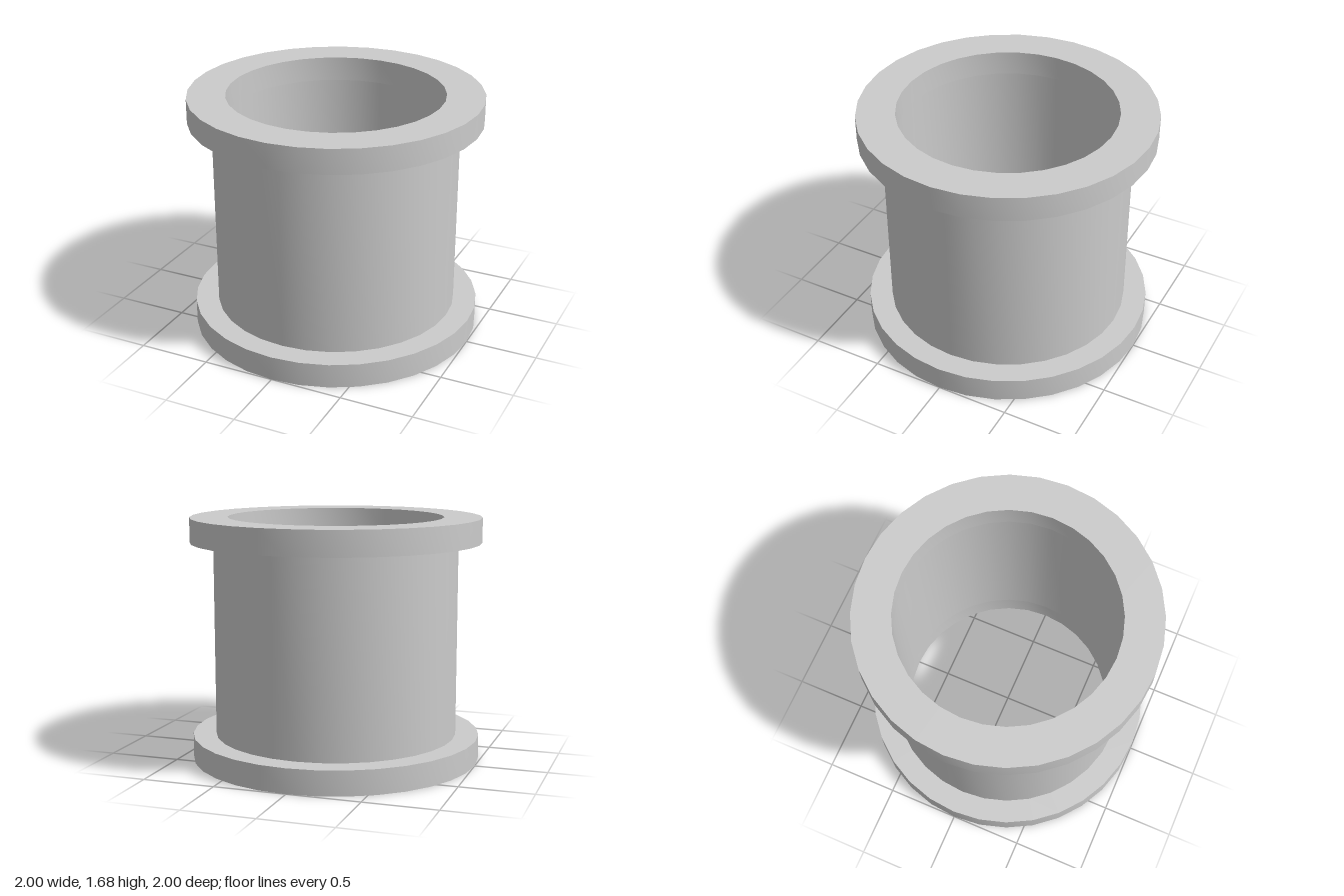
import * as THREE from 'three';
import { toCreasedNormals } from 'three/addons/utils/BufferGeometryUtils.js';

const SIDES = 32;
const BORE = 0.74, WALL = 0.84, RIM = 1;
const HEIGHT = 1.68, FLANGE = 0.17;

export function createModel() {
  const group = new THREE.Group();
  group.name = 'flangedSleeve';
  const material = new THREE.MeshStandardMaterial({ color: 0xcccccc });

  // Revolves a [radius, height] profile, keeping its corners sharp
  const revolve = (name, profile, parent = group) => {
    const points = profile.map(([r, y]) => new THREE.Vector2(r, y));
    const geometry = toCreasedNormals(new THREE.LatheGeometry(points, SIDES), 0.6);
    const mesh = new THREE.Mesh(geometry, material);
    mesh.name = name;
    parent.add(mesh);
  };

  const low = FLANGE, high = HEIGHT - FLANGE;

  // Flanges, left open where they join the barrel wall
  revolve('bottomFlange', [[BORE, low], [BORE, 0], [RIM, 0], [RIM, low], [WALL, low]]);
  revolve('topFlange', [[WALL, high], [RIM, high], [RIM, HEIGHT], [BORE, HEIGHT], [BORE, high]]);

  // Barrel: outer wall and bore
  const barrel = new THREE.Group();
  barrel.name = 'barrel';
  revolve('barrelOuterWall', [[WALL, low], [WALL, high]], barrel);
  revolve('barrelBore', [[BORE, high], [BORE, low]], barrel);
  group.add(barrel);

  return group;
}
